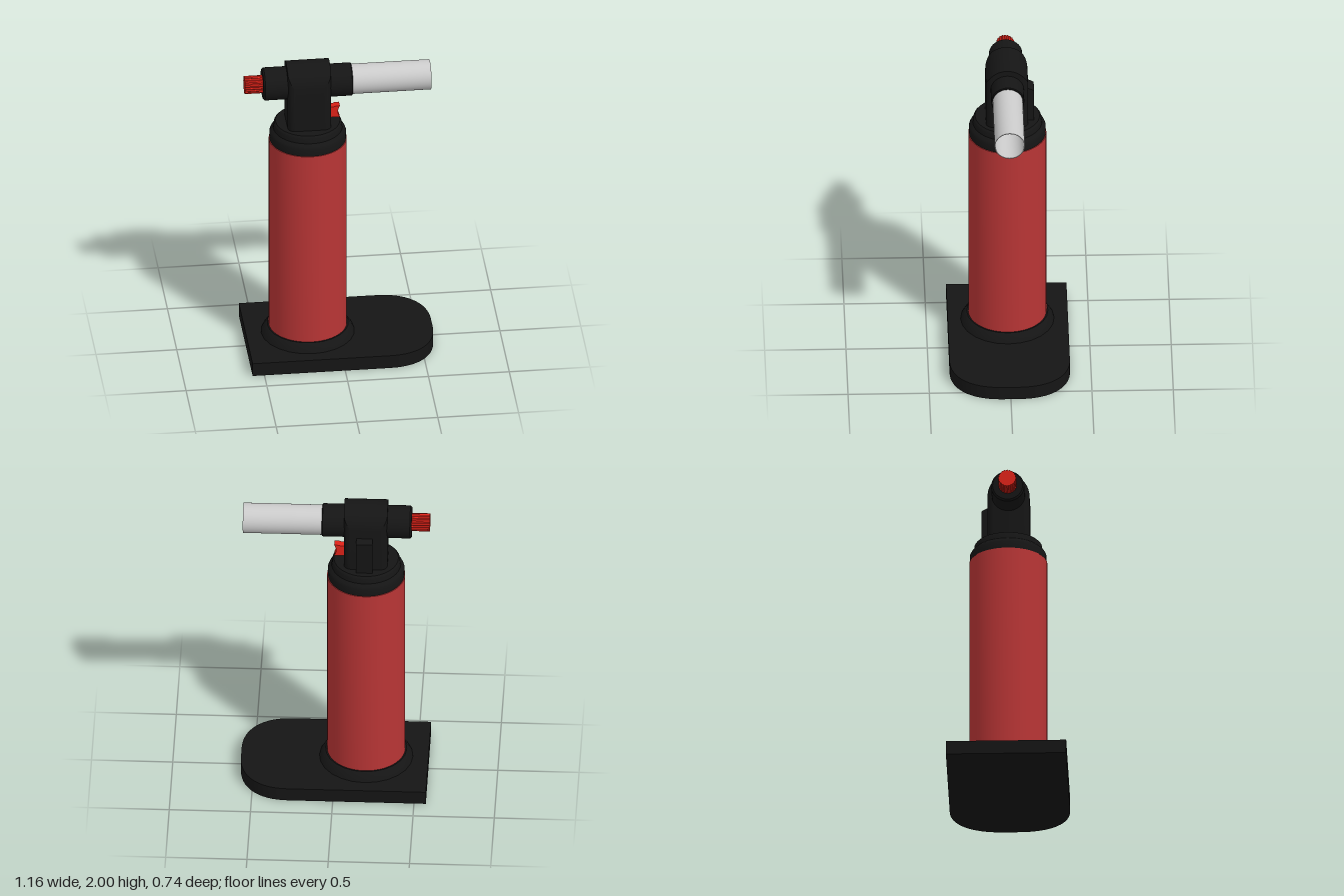
import * as THREE from 'three';
import { toCreasedNormals } from 'three/addons/utils/BufferGeometryUtils.js';

const paint = (color, side = THREE.FrontSide) => new THREE.MeshStandardMaterial({ color, side });
const AXIS_X = -0.19; // canister axis
const HEAD_Y = 1.863, HEAD_Z = 0.007; // burner axis

export function createModel() {
  const group = new THREE.Group();
  const black = paint(0x151515), red = paint(0xb83535), brightRed = paint(0xdd2218);
  const steel = paint(0xcccccc, THREE.DoubleSide);

  function add(name, geometry, material, x = 0, y = 0, z = 0) {
    const mesh = new THREE.Mesh(toCreasedNormals(geometry, 0.6), material);
    mesh.name = name;
    mesh.position.set(x, y, z);
    group.add(mesh);
    return mesh;
  }
  const lathe = (points, sides) =>
    new THREE.LatheGeometry(points.map(([r, y]) => new THREE.Vector2(r, y)), sides);
  // Turned part along the burner axis: points are [radius, x]
  const turnedX = (points, sides) => lathe(points, sides).rotateZ(-Math.PI / 2);

  // Foot plate: square at one end, rounded at the other
  const plate = new THREE.Shape();
  plate.moveTo(-0.573, -0.37);
  plate.lineTo(0.28, -0.37);
  plate.bezierCurveTo(0.46, -0.37, 0.578, -0.25, 0.578, -0.05);
  plate.lineTo(0.578, 0.05);
  plate.bezierCurveTo(0.578, 0.25, 0.46, 0.37, 0.28, 0.37);
  plate.lineTo(-0.573, 0.37);
  plate.closePath();
  const plateGeometry = new THREE.ExtrudeGeometry(plate, { depth: 0.087, bevelEnabled: false, curveSegments: 16 });
  add('footPlate', plateGeometry.rotateX(-Math.PI / 2), black);

  // Canister with its lower collar and stepped cap
  add('footCollar', lathe([[0.29, 0.08], [0.285, 0.095], [0.257, 0.138], [0.25, 0.143], [0, 0.143]], 24), black, AXIS_X, 0, 0.003);
  add('canister', lathe([[0, 0.12], [0.24, 0.12], [0.24, 1.462], [0, 1.462]], 48), red, AXIS_X, 0, 0.003);
  add('canisterCap', lathe([[0, 1.458], [0.235, 1.458], [0.236, 1.51], [0.229, 1.525],
    [0.213, 1.54], [0.208, 1.575], [0.198, 1.586], [0, 1.586]], 40), black, AXIS_X, 0, 0.003);

  // Burner head: arched sections whose width follows a rounded plan
  add('burnerHead', headGeometry(), black, AXIS_X, 0, HEAD_Z);

  // Barrel through the head
  add('barrel', turnedX([[0, -0.472], [0.092, -0.472], [0.102, -0.462], [0.102, 0.075],
    [0.098, 0.08], [0, 0.08]], 36), black, 0, HEAD_Y, HEAD_Z);
  add('flameTube', turnedX([[0.093, 0.07], [0.093, 0.566], [0.089, 0.566], [0.089, 0.07]], 40),
    steel, 0, HEAD_Y, HEAD_Z);

  // Knurled gas knob
  const knob = new THREE.Shape();
  const teeth = 20;
  for (let i = 0; i < teeth * 2; i++) {
    const a = (i / (teeth * 2)) * Math.PI * 2, r = i % 2 ? 0.051 : 0.056;
    knob[i ? 'lineTo' : 'moveTo'](r * Math.cos(a), r * Math.sin(a));
  }
  knob.closePath();
  const knobGeometry = new THREE.ExtrudeGeometry(knob, { depth: 0.115, bevelEnabled: false });
  add('gasKnob', knobGeometry.rotateY(Math.PI / 2), brightRed, -0.583, HEAD_Y, HEAD_Z);

  // Trigger with a hollow finger face
  const trigger = new THREE.Shape();
  trigger.moveTo(-0.07, 1.612);
  trigger.lineTo(0.006, 1.612);
  trigger.quadraticCurveTo(-0.018, 1.651, 0.006, 1.69);
  trigger.lineTo(-0.02, 1.69);
  trigger.lineTo(-0.035, 1.684);
  trigger.lineTo(-0.07, 1.684);
  trigger.closePath();
  add('trigger', new THREE.ExtrudeGeometry(trigger, { depth: 0.05, bevelEnabled: false }),
    brightRed, 0, 0, HEAD_Z - 0.025);

  // Rib on the back of the head, with a sloping top
  const rib = new THREE.Shape();
  [[0.09, 1.58], [0.16, 1.58], [0.16, 1.80], [0.145, 1.81], [0.09, 1.835]]
    .forEach(([x, y], i) => rib[i ? 'lineTo' : 'moveTo'](x, y));
  rib.closePath();
  const ribGeometry = new THREE.ExtrudeGeometry(rib, { depth: 0.1, bevelEnabled: false });
  add('backRib', ribGeometry.rotateY(Math.PI / 2), black, AXIS_X - 0.045, 0, 0);

  return group;
}

function headGeometry() {
  const R = 0.13, halfLength = 0.134, corner = 0.045, bottom = 1.58, centre = 1.87;
  const sections = [];
  const section = (x, width, squash = 1) => {
    const ring = [[x, bottom, width * squash]];
    const a0 = Math.acos(width / R);
    for (let i = 0; i <= 24; i++) {
      const a = a0 + (i / 24) * (Math.PI - 2 * a0);
      ring.push([x, centre + R * Math.sin(a), R * Math.cos(a) * squash]);
    }
    ring.push([x, bottom, -width * squash]);
    sections.push(ring);
  };
  section(-halfLength, R - corner, 0); // flat end
  for (const side of [-1, 1]) {
    for (let i = 0; i <= 6; i++) {
      const a = ((side < 0 ? i : 6 - i) / 6) * Math.PI / 2;
      section(side * (halfLength - corner + corner * Math.cos(a)), R - corner + corner * Math.sin(a));
    }
  }
  section(halfLength, R - corner, 0); // flat end

  const n = sections[0].length, index = [];
  for (let s = 0; s < sections.length - 1; s++) {
    for (let i = 0; i < n - 1; i++) {
      const a = s * n + i, b = a + n;
      index.push(a, b, a + 1, b, b + 1, a + 1);
    }
  }
  const geometry = new THREE.BufferGeometry();
  geometry.setAttribute('position', new THREE.Float32BufferAttribute(sections.flat(2), 3));
  geometry.setIndex(index);
  return geometry;
}
